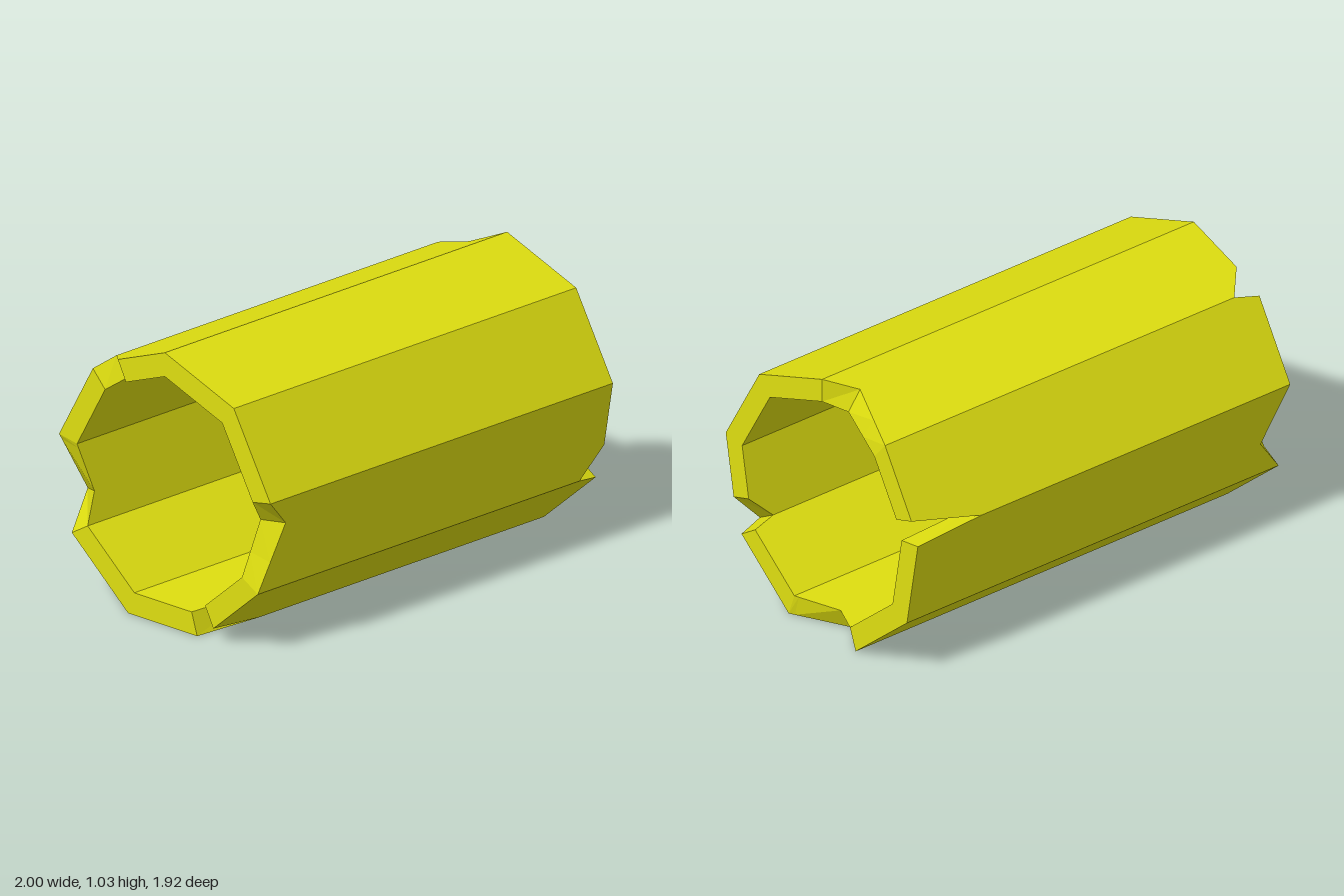
import * as THREE from 'three';

const SIDES = 9, OUTER = 0.53, INNER = 0.44, CENTRE_Y = 0.5;

// Broken rim: [side index, outer half length, inner half length]
const RIM = [
  [0, 0.575, 0.56], [0.21, 0.87, 0.87], [1, 0.87, 0.87],
  [1.72, 0.775, 0.815], [2, 0.87, 0.87], [4.68, 0.87, 0.87],
  [5, 0.765, 0.77], [5.08, 0.87, 0.87], [6, 0.87, 0.87],
  [6.62, 0.765, 0.815], [7, 0.87, 0.87], [8.94, 0.87, 0.87], [9, 0.575, 0.56],
];

const wrap = (i) => ((i % SIDES) + SIDES) % SIDES;

// Length of the tube at a side index; column 1 is outer, 2 is inner
function rimLength(index, column) {
  const i = wrap(index);
  const k = Math.max(1, RIM.findIndex((r) => r[0] >= i));
  const a = RIM[k - 1], b = RIM[k];
  return THREE.MathUtils.lerp(a[column], b[column], (i - a[0]) / (b[0] - a[0]));
}

// Point on a straight-sided ring, with fractions lying along the chords
function ringPoint(index, radius, z) {
  const corner = (n) => {
    const angle = THREE.MathUtils.degToRad(-70 + 40 * n);
    return new THREE.Vector3(Math.cos(angle) * radius, CENTRE_Y + Math.sin(angle) * radius, z);
  };
  const base = Math.floor(index);
  return corner(base).lerp(corner(base + 1), index - base);
}

function tubeGeometry() {
  // Both ends share one rim; the back one is turned over
  const steps = new Set();
  for (let n = 0; n < SIDES; n++) steps.add(n.toFixed(3));
  for (const [i] of RIM) {
    steps.add(wrap(i).toFixed(3));
    steps.add(wrap(6 - i).toFixed(3));
  }
  const stations = [...steps].map(Number).sort((a, b) => a - b);

  const rings = stations.map((i) => {
    const back = Number(wrap(6 - i).toFixed(3));
    return {
      outerFront: ringPoint(i, OUTER, rimLength(i, 1)),
      innerFront: ringPoint(i, INNER, rimLength(i, 2)),
      outerBack: ringPoint(i, OUTER, -rimLength(back, 1)),
      innerBack: ringPoint(i, INNER, -rimLength(back, 2)),
    };
  });

  const points = [];
  const quad = (a, b, c, d) => points.push(a, b, c, a, c, d);
  rings.forEach((p, n) => {
    const q = rings[(n + 1) % rings.length];
    quad(p.outerBack, q.outerBack, q.outerFront, p.outerFront); // outer wall
    quad(p.innerFront, q.innerFront, q.innerBack, p.innerBack); // inner wall
    quad(p.outerFront, q.outerFront, q.innerFront, p.innerFront); // front rim
    quad(p.innerBack, q.innerBack, q.outerBack, p.outerBack); // back rim
  });
  const geometry = new THREE.BufferGeometry().setFromPoints(points);
  geometry.computeVertexNormals();
  return geometry;
}

export function createModel() {
  const group = new THREE.Group();
  group.name = 'brokenTube';
  const yellow = new THREE.MeshStandardMaterial({ color: 0xdede10, flatShading: true });
  yellow.name = 'yellow';
  const tube = new THREE.Mesh(tubeGeometry(), yellow);
  tube.name = 'tubeWall';
  tube.rotation.y = -0.863;
  group.add(tube);
  return group;
}
